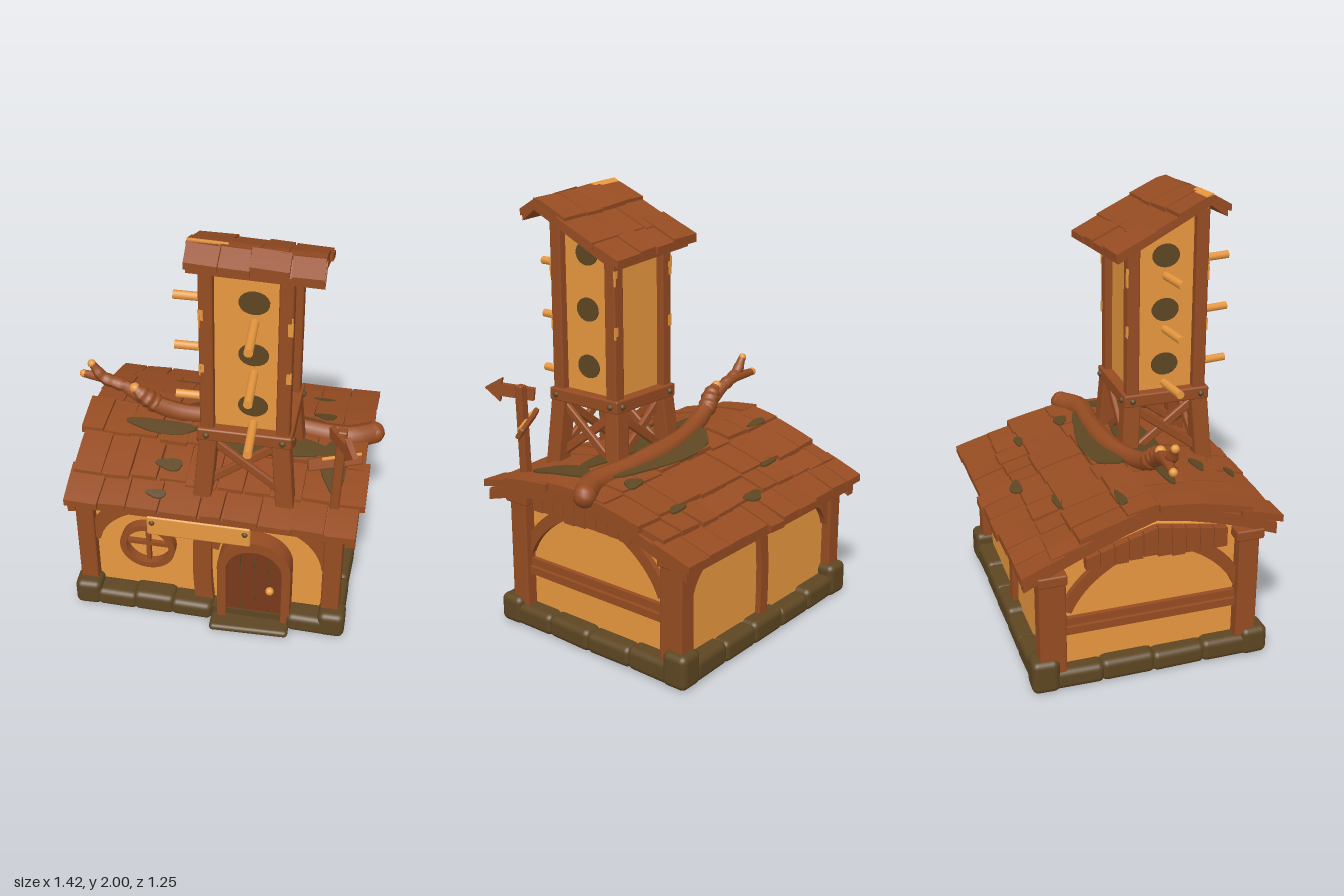
import * as THREE from 'three';
import { RoundedBoxGeometry } from 'three/addons/geometries/RoundedBoxGeometry.js';

const mat = (name, color) => Object.assign(new THREE.MeshStandardMaterial({ color }), { name });

export function createModel() {
  const wood = mat('brown wood', 0x964c22), plaster = mat('ochre plaster', 0xf8a344);
  const moss = mat('mossy stone', 0x5d4622), dark = mat('dark door wood', 0x77391a);
  const V = (x, y, z) => new THREE.Vector3(x, y, z), lerp = THREE.MathUtils.lerp;
  let seed = 7;
  const jit = (a) => { seed = (seed * 16807) % 2147483647; return (seed / 2147483647 - 0.5) * 2 * a; };
  const model = Object.assign(new THREE.Group(), { name: 'birdhouseCottage' });
  const put = (parent, name, o, x, y, z) => {
    o.name = name;
    o.position.set(x, y, z);
    parent.add(o);
    return o;
  };
  const group = (name, parent = model, x = 0, y = 0, z = 0) => put(parent, name, new THREE.Group(), x, y, z);
  const add = (parent, name, geo, m, x = 0, y = 0, z = 0) => put(parent, name, new THREE.Mesh(geo, m), x, y, z);
  const box = (p, name, m, x0, x1, y0, y1, z0, z1) =>
    add(p, name, new THREE.BoxGeometry(x1 - x0, y1 - y0, z1 - z0), m, (x0 + x1) / 2, (y0 + y1) / 2, (z0 + z1) / 2);
  const ball = (p, name, m, r, x, y, z) => add(p, name, new THREE.SphereGeometry(r, 10, 8), m, x, y, z);
  // Straight pieces between two points
  const span = (mesh, a, b) => {
    mesh.position.lerpVectors(a, b, 0.5);
    mesh.quaternion.setFromUnitVectors(V(0, 1, 0), b.clone().sub(a).normalize());
  };
  const beam = (p, name, m, a, b, w, d = w) => span(add(p, name, new RoundedBoxGeometry(w, a.distanceTo(b), d, 1, 0.008), m), a, b);
  const rod = (p, name, m, a, b, r) => span(add(p, name, new THREE.CylinderGeometry(r, r, a.distanceTo(b), 10), m), a, b);
  const vec2 = (pts) => pts.map((q) => new THREE.Vector2(...q));
  const extrude = (shape, depth) => new THREE.ExtrudeGeometry(shape, { depth, bevelEnabled: false, curveSegments: 20 });
  // Curved timber lying on a wall
  const brace = (p, pts, w, depth) => {
    const c = new THREE.QuadraticBezierCurve(...vec2(pts)), outer = [], inner = [];
    for (let i = 0; i <= 10; i++) {
      const q = c.getPoint(i / 10), t = c.getTangent(i / 10), n = new THREE.Vector2(-t.y, t.x).multiplyScalar(w / 2);
      outer.push(q.clone().add(n));
      inner.unshift(q.clone().sub(n));
    }
    add(p, 'curvedBrace', extrude(new THREE.Shape([...outer, ...inner]), depth), wood, 0, 0, -0.01);
  };
  const warp = (geo, fn) => {
    const a = geo.attributes.position, v = V(0, 0, 0);
    for (let i = 0; i < a.count; i++) {
      fn(v.fromBufferAttribute(a, i));
      a.setXYZ(i, v.x, v.y, v.z);
    }
    geo.computeVertexNormals();
    return geo;
  };
  // Block that follows a height rule; its lower edge is lifted over the next row
  const tile = (p, name, m, x0, x1, zTop, zBot, yFn, th, lift) => {
    const zMin = Math.min(zTop, zBot), zMax = Math.max(zTop, zBot), s0 = jit(0.008), s1 = jit(0.008), tilt = jit(0.006);
    add(p, name, warp(new THREE.BoxGeometry(1, 1, 1, 1, 1, 4), (v) => {
      const z = lerp(zMin, zMax, v.z + 0.5), low = (z - zTop) / (zBot - zTop);
      const x = lerp(x0 + s0 * low, x1 + s1 * low, v.x + 0.5);
      v.set(x, yFn(x, z) + (v.y > 0 ? th : 0) + lift * low + tilt * v.x, z);
    }), m);
  };
  const tileRow = (p, x0, x1, n, zTop, zBot, yFn, th = 0.03, lift = 0.02) => {
    let a = x0 + jit(0.012);
    for (let i = 1; i <= n; i++) {
      const b = x0 + (x1 - x0) * i / n + jit(0.02);
      tile(p, 'roofTile', wood, a, b - 0.004, zTop, zBot + jit(0.012), yFn, th + jit(0.005), lift);
      a = b;
    }
  };
  // Stone footing
  const base = group('footing');
  box(base, 'floor', moss, -0.62, 0.58, 0, 0.07, -0.52, 0.5);
  const stone = (x, z, lx, lz, h) => { add(base, 'stone', new RoundedBoxGeometry(lx, h, lz, 3, 0.03), moss, x, h / 2, z).rotation.y = jit(0.04); };
  for (const x of [-0.6, 0.56]) {
    for (const z of [-0.5, 0.47]) stone(x, z, 0.125, 0.125, z < 0 ? 0.16 : 0.135);
    for (let i = 0; i < 4; i++) stone(x, -0.36 + i * 0.235, 0.11, 0.25, 0.1 + jit(0.01));
  }
  for (let i = 0; i < 5; i++) stone(-0.45 + i * 0.215, -0.5, 0.23, 0.11, 0.1 + jit(0.01));
  for (const x of [-0.46, -0.28, -0.1, 0.45]) stone(x, 0.47, 0.2, 0.12, 0.1 + jit(0.012));
  stone(0.18, 0.52, 0.37, 0.13, 0.035);
  // Plaster body with gabled ends, and corner posts
  const gable = new THREE.Shape(vec2([[-0.43, 0.05], [0.48, 0.05], [0.48, 0.57], [0, 0.72], [-0.43, 0.65]]));
  add(model, 'plasterWalls', extrude(gable, 1.12), plaster, -0.585).rotation.y = Math.PI / 2;
  for (const x of [-0.6, 0.547]) for (const [z, top, d] of [[0.428, 0.65, 0.095], [-0.465, 0.58, 0.12]]) {
    beam(model, 'cornerPost', wood, V(x, 0.08, z), V(x, top, z), 0.085, d);
    beam(model, 'postCap', wood, V(x, top - 0.05, z), V(x, top, z), 0.11, 0.13);
  }
  // Front wall
  const front = group('frontWall', model, 0, 0, 0.43);
  for (const [pts, w, d] of [[[[-0.57, 0.38], [-0.53, 0.55], [-0.33, 0.61]], 0.065, 0.04], [[[-0.05, 0.42], [-0.08, 0.56], [-0.24, 0.61]], 0.055, 0.035],
    [[[-0.045, 0.08], [-0.07, 0.35], [-0.03, 0.65]], 0.085, 0.05], [[[0, 0.4], [0.03, 0.56], [0.15, 0.62]], 0.045, 0.035],
    [[[0.53, 0.36], [0.5, 0.56], [0.28, 0.62]], 0.06, 0.04]]) brace(front, pts, w, d);
  box(front, 'headBeam', wood, -0.6, 0.55, 0.62, 0.67, -0.01, 0.04);
  // Round window
  const ring = new THREE.Shape().absarc(0, 0, 0.13, 0, Math.PI * 2);
  ring.holes.push(new THREE.Path().absarc(0, 0, 0.1, 0, Math.PI * 2));
  const win = group('roundWindow', front, -0.31, 0.375, 0);
  add(win, 'windowRing', extrude(ring, 0.045), wood);
  box(win, 'windowBar', wood, -0.01, 0.01, -0.105, 0.105, 0, 0.025);
  box(win, 'windowBar', wood, -0.105, 0.105, -0.01, 0.01, 0, 0.022);
  // Arched door
  const arch = (w, top, y0) => new THREE.Shape().moveTo(-w, y0).lineTo(w, y0).absarc(0, top - w, w, 0, Math.PI).lineTo(-w, y0);
  const door = group('door', front, 0.195);
  const surround = arch(0.17, 0.52, 0.015);
  surround.holes.push(arch(0.13, 0.465, 0.02));
  add(door, 'doorFrame', extrude(surround, 0.085), wood);
  add(door, 'doorLeaf', extrude(arch(0.135, 0.47, 0.02), 0.06), dark);
  for (const x of [-0.065, 0, 0.065]) box(door, 'doorGroove', moss, x - 0.002, x + 0.002, 0.03, 0.42, 0.057, 0.062);
  ball(door, 'doorKnob', plaster, 0.02, 0.075, 0.225, 0.075);
  // Blank name board
  const board = group('nameBoard', front, -0.05, 0.59, 0.115);
  add(board, 'board', new RoundedBoxGeometry(0.47, 0.105, 0.025, 1, 0.008), plaster);
  for (const x of [-0.21, 0.21]) {
    ball(board, 'nail', moss, 0.014, x, 0.02, 0.01);
    box(board, 'hanger', wood, x - 0.015, x + 0.015, 0.03, 0.09, -0.03, -0.01);
  }
  // Side walls with gable planks
  for (const [name, x, rot] of [['leftWall', 0.535, 1], ['rightWall', -0.585, -1]]) {
    const side = group(name, model, x);
    side.rotation.y = rot * Math.PI / 2;
    for (const [y, z] of [[0.277, 0.035], [0.315, 0.022]]) box(side, 'railBeam', wood, -0.44, 0.44, y - 0.018, y + 0.018, -0.01, z);
    for (const s of [-1, 1]) brace(side, [[s * 0.4, 0.37], [s * 0.34, 0.51], [s * 0.17, 0.6]], 0.055, 0.035);
    for (let i = 0; i < 10; i++) {
      const c = -0.288 + i * 0.064, y0 = 0.595 + jit(0.012);
      add(side, 'gablePlank', warp(new THREE.BoxGeometry(0.06, 1, 0.04), (v) => {
        const z = -rot * (v.x + c);
        v.set(v.x + c, v.y > 0 ? 0.735 - Math.abs(z) * (z > 0 ? 0.17 : 0.3) : y0, v.z + 0.045);
      }), wood);
    }
  }
  // Back wall
  const back = group('backWall', model, 0, 0, -0.48);
  back.rotation.y = Math.PI;
  for (const [a, b, c] of [[[0.03, 0.08], [0.05, 0.35], [0.01, 0.58]], [[-0.52, 0.38], [-0.48, 0.53], [-0.3, 0.56]], [[0.57, 0.38], [0.53, 0.53], [0.35, 0.56]]])
    brace(back, [a, b, c], 0.055, 0.038);
  box(back, 'headBeam', wood, -0.55, 0.6, 0.54, 0.575, -0.01, 0.035);
  // Cottage roof: the ridge tilts, the slopes steepen to level eaves
  const roof = group('cottageRoof');
  const roofY = (x, z) => 0.785 - 0.05 * x * (1 - Math.abs(z) / 0.62) - (z > 0 ? 0.1 * z + 0.25 * z * z : -0.27 * z + 0.17 * z * z);
  for (const zb of [0.55, -0.59]) {
    tile(roof, 'roofDeck', wood, -0.65, 0.64, 0, zb, (x, z) => roofY(x, z) - 0.02, 0.03, 0);
    for (const x of [-0.63, 0.62]) tile(roof, 'bargeBoard', wood, x - 0.02, x + 0.02, 0, zb, (a, z) => roofY(a, z) - 0.045, 0.05, 0);
  }
  for (const [zt, zb, n, x0, x1] of [[0, 0.21, 11, -0.67, 0.66], [0.17, 0.42, 10, -0.66, 0.66], [0.38, 0.575, 9, -0.65, 0.66],
    [0, -0.14, 10, -0.66, 0.64], [-0.1, -0.34, 9, -0.67, 0.65], [-0.3, -0.46, 11, -0.68, 0.645], [-0.42, -0.615, 10, -0.685, 0.64]])
    tileRow(roof, x0, x1, n, zt, zb, roofY);
  // Moss patches on the tiles
  for (const [x, z, rx, rz] of [[0.1, -0.05, 0.33, 0.075], [0.14, 0.14, 0.3, 0.09], [0.51, 0.2, 0.06, 0.17], [-0.3, 0.14, 0.16, 0.04], [-0.22, 0.34, 0.06, 0.03],
    [-0.25, 0.49, 0.045, 0.02], [0, -0.46, 0.06, 0.025], [-0.28, -0.34, 0.06, 0.018], [0.4, -0.35, 0.05, 0.018], [-0.5, -0.12, 0.07, 0.018], [0.43, -0.13, 0.05, 0.03]])
    add(roof, 'mossPatch', warp(new THREE.CylinderGeometry(1, 1, 0.008, 24, 1), (v) => {
      const k = 1 + 0.13 * Math.sin(3 * Math.atan2(v.z, v.x) + x * 9);
      v.x = x + v.x * rx * k;
      v.z = z + v.z * rz * k;
      v.y += roofY(v.x, v.z) + 0.05;
    }), moss);
  // Fallen branch along the ridge
  const branch = group('branch');
  for (const [r0, r1, pts] of [
    [0.052, 0.017, [[0.66, 0.775, -0.06], [0.55, 0.78, 0], [0.3, 0.795, -0.01], [0, 0.815, 0], [-0.25, 0.855, 0.05], [-0.4, 0.93, 0.075], [-0.52, 0.995, 0.065], [-0.69, 1.01, 0.045]]],
    [0.03, 0.017, [[-0.5, 0.985, 0.068], [-0.59, 1.02, 0.07], [-0.64, 1.09, 0.07]]], [0.045, 0.022, [[-0.35, 0.9, 0.065], [-0.4, 0.95, 0.08], [-0.44, 0.985, 0.08]]]]) {
    const n = 40, c = new THREE.CatmullRomCurve3(pts.map((q) => V(...q)));
    let i = 0;
    add(branch, 'limb', warp(new THREE.TubeGeometry(c, n, 1, 9), (v) => {
      const u = Math.floor(i++ / 10) / n, o = c.getPointAt(u);
      v.sub(o).multiplyScalar(lerp(r0, r1, u ** 3) * (1 + 0.06 * Math.sin(u * 20))).add(o);
    }), wood);
    ball(branch, 'limbButt', wood, r0, ...pts[0]);
    ball(branch, 'brokenTip', plaster, r1 * 1.15, ...pts.at(-1));
  }
  // Tower: legs, posts and panels
  const tower = group('birdTower', model, 0.135, 0, 0.245);
  for (const sx of [-1, 1]) for (const sz of [-1, 1]) {
    beam(tower, 'towerLeg', wood, V(sx * 0.185, 0.7, sz * 0.185), V(sx * 0.155, 1.07, sz * 0.16), 0.08);
    beam(tower, 'towerPost', wood, V(sx * 0.163, 1.04, sz * 0.16), V(sx * 0.163, sz > 0 ? 1.93 : 1.77, sz * 0.16), 0.06);
  }
  add(tower, 'panels', warp(new THREE.BoxGeometry(0.31, 1, 0.31), (v) => { v.y = v.y < 0 ? 1.07 : 1.85 + v.z * 0.53; }), plaster);
  for (let i = 0; i < 4; i++) {
    const face = group('towerFace', tower), hx = i === 0 ? 0.03 : 0;
    face.rotation.y = i * Math.PI / 2;
    beam(face, 'girt', wood, V(-0.205, 1.06, 0.17), V(0.205, 1.06, 0.17), 0.06, 0.07);
    beam(face, 'crossBrace', wood, V(-0.16, 0.78, 0.16), V(0.16, 1.02, 0.15), 0.042, 0.025);
    beam(face, 'crossBrace', wood, V(-0.16, 1.02, 0.165), V(0.16, 0.78, 0.175), 0.042, 0.025);
    for (const x of [-0.165, 0.165]) ball(face, 'peg', moss, 0.015, x, 1.06, 0.203);
    for (const [x, y, h] of [[-0.183, 1.66, 0.05], [-0.182, 1.4, 0.04], [0.183, 1.63, 0.06], [0.182, 1.39, 0.05]])
      box(face, 'chip', plaster, x - 0.011, x + 0.011, y - h / 2, y + h / 2, 0.186, 0.192);
    // Nest holes on three faces, with perches on two
    for (const y of i === 2 ? [] : [1.72, 1.47, 1.21]) {
      const hole = add(face, 'nestHole', new THREE.CylinderGeometry(0.064, 0.064, 0.008, 18), moss, hx, y, 0.156);
      hole.rotation.x = Math.PI / 2;
      hole.scale.z = 0.84;
      if (i !== 1) rod(face, 'perch', plaster, V(hx, y - 0.095, 0.13), V(hx + 0.015, y - 0.087, i ? 0.335 : 0.38), 0.019);
    }
  }
  // Tower roof
  const cap = group('towerRoof', tower);
  cap.rotation.y = 0.05;
  const capY = (x, z) => 1.95 - 0.06 * x - (z > 0.17 ? (z - 0.17) * 0.7 : (0.17 - z) * 0.51);
  for (const zb of [-0.26, 0.245]) tile(cap, 'roofDeck', wood, -0.23, 0.305, 0.17, zb, (x, z) => capY(x, z) - 0.02, 0.03, 0);
  for (const [zt, zb, n] of [[0.175, 0.262, 4], [0.18, 0, 4], [0.04, -0.16, 3], [-0.1, -0.285, 4]]) tileRow(cap, -0.25, 0.315, n, zt, zb, capY, 0.033, 0.01);
  tile(cap, 'chippedEdge', plaster, -0.24, -0.08, 0.14, 0.175, (x, z) => capY(x, z) + 0.03, 0.008, 0);
  // Signpost with a plain arrow and a plain board
  const post = group('signpost');
  beam(post, 'post', wood, V(0.535, 0.7, 0.42), V(0.55, 1.15, 0.42), 0.042);
  const arrow = new THREE.Shape(vec2([[-0.1, -0.028], [0.05, -0.028], [0.05, -0.055], [0.125, 0], [0.05, 0.055], [0.05, 0.028], [-0.1, 0.028]]));
  add(post, 'arrowBoard', extrude(arrow, 0.025), wood, 0.565, 1.115, 0.46).rotation.set(0, -1.02, 0.12);
  beam(post, 'lowerBoard', wood, V(0.415, 0.98, 0.47), V(0.635, 0.955, 0.35), 0.055, 0.025);
  rod(post, 'boardEdge', plaster, V(0.47, 0.995, 0.44), V(0.63, 0.977, 0.353), 0.008);
  return model;
}
